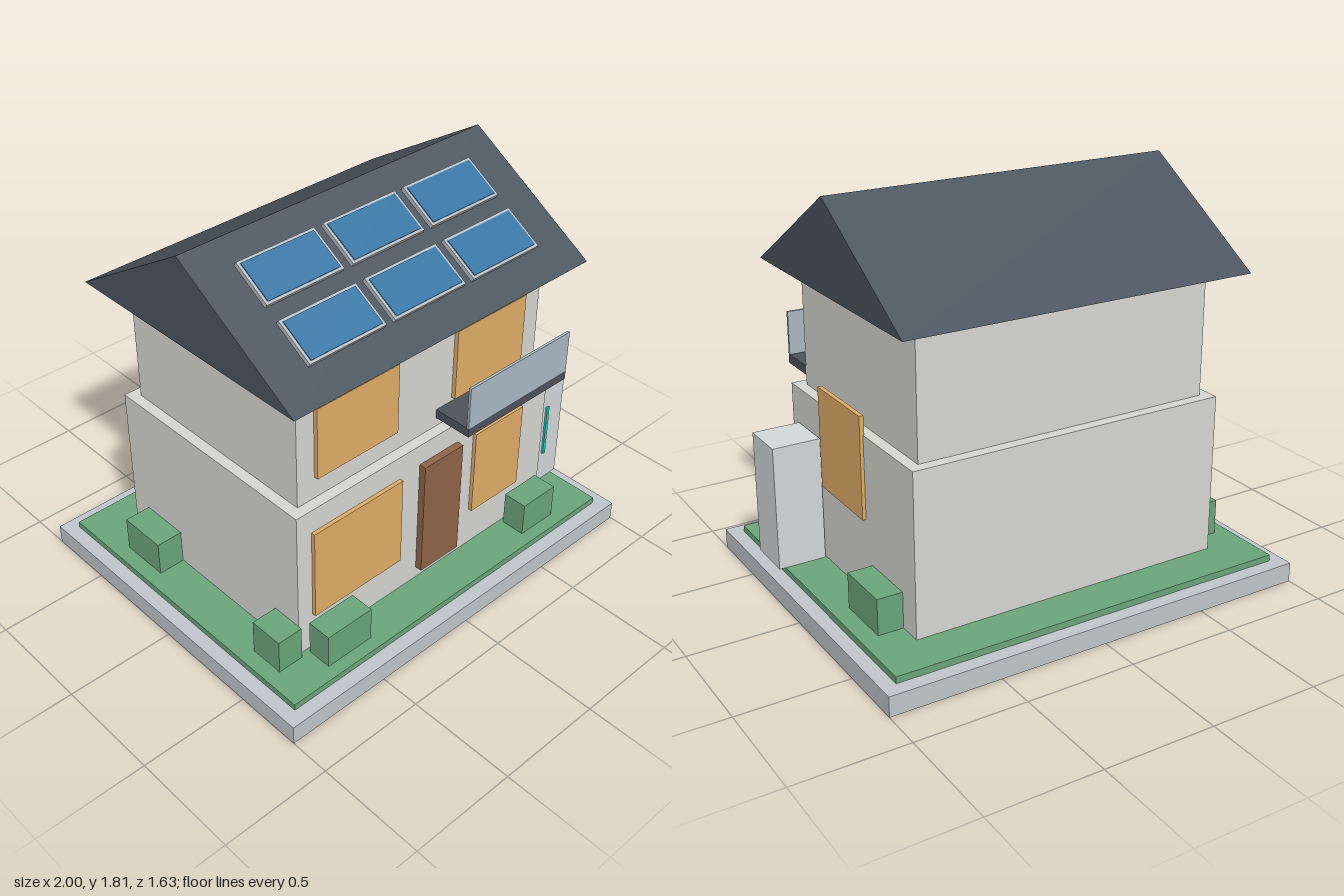
import * as THREE from 'three';

const mat = (color) => new THREE.MeshStandardMaterial({ color, flatShading: true });
const M = {
  stone: mat(0xbfc5c8), grass: mat(0x6aa57a), wall: mat(0xd6d6d1), roof: mat(0x4a545e),
  window: mat(0xdfad68), door: mat(0x8f6448), slab: mat(0x4d535c), glass: mat(0xa9b8c3),
  frame: mat(0xb4bcc2), cell: mat(0x3474a3), cabinet: mat(0xd3d7d9), light: mat(0x2ec9bb),
};

// Box given by its limits on each axis
function box(parent, name, material, [x0, x1], [y0, y1], [z0, z1]) {
  const mesh = new THREE.Mesh(new THREE.BoxGeometry(x1 - x0, y1 - y0, z1 - z0), material);
  mesh.position.set((x0 + x1) / 2, (y0 + y1) / 2, (z0 + z1) / 2);
  mesh.name = name;
  parent.add(mesh);
  return mesh;
}

export function createModel() {
  const house = new THREE.Group();
  house.name = 'house';

  // Plot and storeys
  box(house, 'basePlate', M.stone, [-1, 1], [0, 0.09], [-0.815, 0.815]);
  box(house, 'lawn', M.grass, [-0.935, 0.935], [0.09, 0.12], [-0.75, 0.75]);
  box(house, 'groundFloor', M.wall, [-0.74, 0.74], [0.12, 0.85], [-0.557, 0.557]);
  box(house, 'upperFloor', M.wall, [-0.69, 0.69], [0.85, 1.41], [-0.507, 0.507]);

  // Gable roof: triangle in the z-y plane, extruded along x
  const halfDepth = 0.645, eaves = 1.41, ridge = 1.81, halfWidth = 0.815;
  const gable = new THREE.Shape([
    new THREE.Vector2(-halfDepth, eaves),
    new THREE.Vector2(halfDepth, eaves),
    new THREE.Vector2(0, ridge),
  ]);
  const roofGeometry = new THREE.ExtrudeGeometry(gable, { depth: halfWidth * 2, bevelEnabled: false });
  roofGeometry.translate(0, 0, -halfWidth).rotateY(Math.PI / 2);
  const roof = new THREE.Mesh(roofGeometry, M.roof);
  roof.name = 'roof';
  house.add(roof);

  // Solar panels lying on the front slope
  const pitch = Math.atan2(ridge - eaves, halfDepth);
  for (const z of [0.203, 0.437]) {
    for (const x of [-0.438, -0.002, 0.434]) {
      const panel = new THREE.Group();
      panel.name = 'solarPanel';
      box(panel, 'panelFrame', M.frame, [-0.195, 0.195], [-0.01, 0.01], [-0.102, 0.102]);
      box(panel, 'panelCells', M.cell, [-0.182, 0.182], [0, 0.014], [-0.09, 0.09]);
      panel.position.set(x, ridge - z * Math.tan(pitch) + 0.016, z);
      panel.rotation.x = pitch;
      house.add(panel);
    }
  }

  // Windows and door
  const upperZ = [0.505, 0.527], lowerZ = [0.555, 0.575];
  box(house, 'upperLeftWindow', M.window, [0.17, 0.583], [0.954, 1.29], upperZ);
  box(house, 'upperRightWindow', M.window, [-0.6, -0.163], [0.954, 1.29], upperZ);
  box(house, 'lowerLeftWindow', M.window, [0.267, 0.567], [0.318, 0.743], lowerZ);
  box(house, 'lowerRightWindow', M.window, [-0.663, -0.174], [0.3, 0.737], lowerZ);
  box(house, 'sideWindow', M.window, [0.735, 0.755], [0.474, 0.935], [-0.14, 0.25]);
  box(house, 'frontDoor', M.door, [-0.06, 0.168], [0.178, 0.749], [0.555, 0.59]);

  // Balcony
  box(house, 'balconySlab', M.slab, [0.08, 0.69], [0.893, 0.935], [0.507, 0.69]);
  box(house, 'balconyGlass', M.glass, [0.08, 0.69], [0.935, 1.135], [0.678, 0.69]);

  // Storage cabinet with light strip
  box(house, 'cabinet', M.cabinet, [0.746, 0.965], [0.12, 0.688], [0.27, 0.485]);
  box(house, 'lightStrip', M.light, [0.85, 0.866], [0.28, 0.547], [0.48, 0.495]);

  // Hedges around the walls
  const hedges = [
    [[-0.697, -0.457], [0.575, 0.69]],
    [[0.497, 0.7], [0.575, 0.69]],
    [[-0.864, -0.742], [0.415, 0.577]],
    [[-0.866, -0.742], [-0.453, -0.22]],
    [[0.735, 0.855], [-0.448, -0.185]],
  ];
  for (const [x, z] of hedges) box(house, 'hedge', M.grass, x, [0.12, 0.283], z);

  return house;
}
